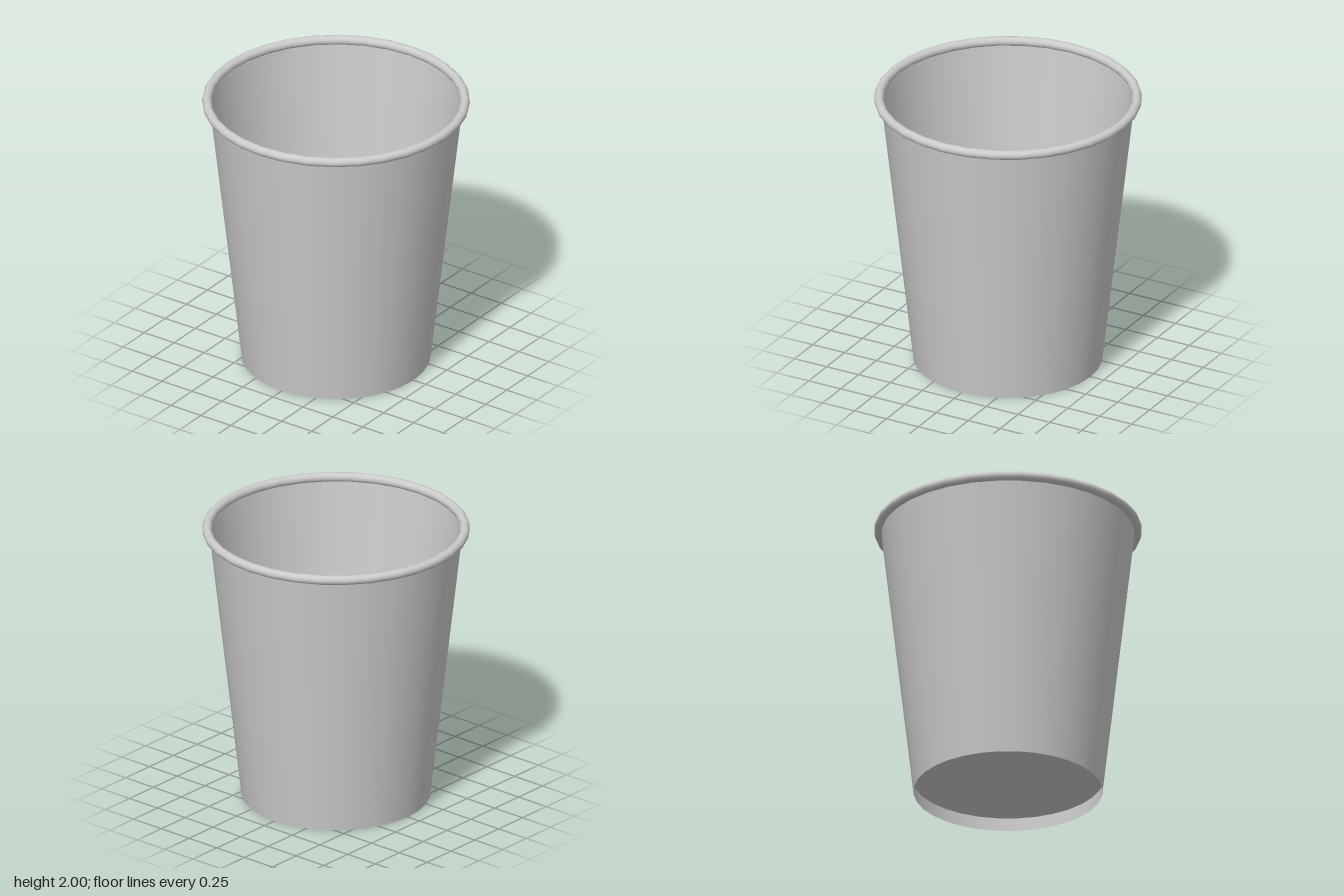
import * as THREE from 'three';

const SIDES = 32;
const BASE_R = 0.647, TOP_R = 0.868, TOP_Y = 1.96;
const FLOOR_Y = 0.1;

// Radius of the tapered wall at height y
const wallRadius = (y) => THREE.MathUtils.lerp(BASE_R, TOP_R, y / TOP_Y);

export function createModel() {
  const cup = new THREE.Group();
  cup.name = 'cup';
  const paper = new THREE.MeshStandardMaterial({ color: 0xcccccc, side: THREE.DoubleSide });

  const add = (name, geometry, y = 0) => {
    const mesh = new THREE.Mesh(geometry, paper);
    mesh.name = name;
    mesh.position.y = y;
    cup.add(mesh);
  };

  // Thin tapered wall, open at both ends
  add('wall', new THREE.LatheGeometry(
    [0, FLOOR_Y, TOP_Y].map((y) => new THREE.Vector2(wallRadius(y), y)), SIDES));

  // Floor disc, recessed above the foot of the wall
  add('floor', new THREE.CircleGeometry(wallRadius(FLOOR_Y), SIDES).rotateX(-Math.PI / 2), FLOOR_Y);

  // Rolled rim
  const tube = 0.033;
  add('rim', new THREE.TorusGeometry(0.883, tube, 12, SIDES).rotateX(-Math.PI / 2), 2 - tube);

  return cup;
}
